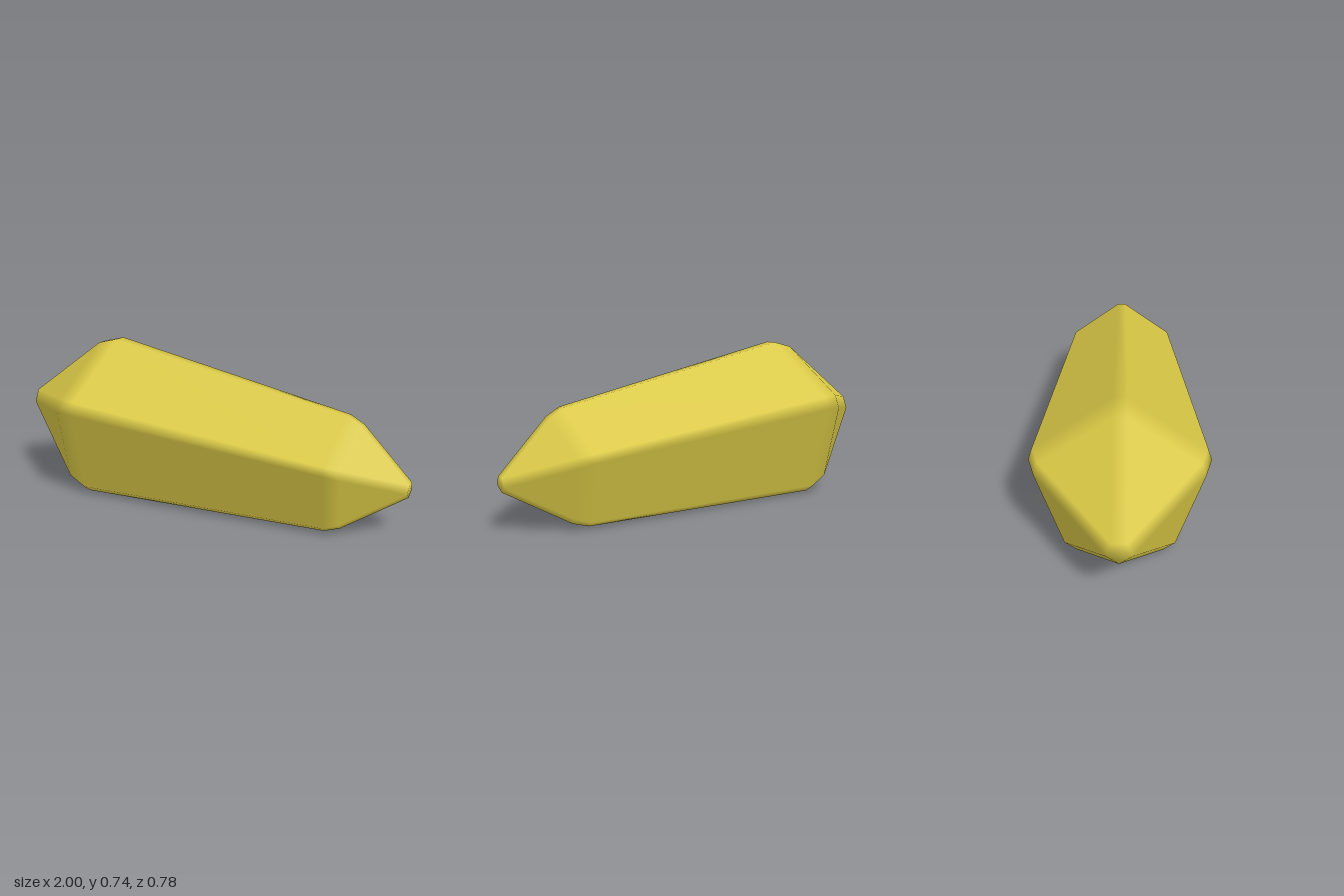
import * as THREE from 'three';

const SIDES = 5;

// Bevels a closed convex solid: each face is inset, then strips fill the edges and
// small polygons the corners. Vertices keep their face normal, so bevels shade softly.
function bevelledSolid(corners, faces) {
  const positions = [], normals = [], index = [];
  const vertexOf = faces.map(() => ({}));
  const faceOfEdge = {};
  const inset = (a, b) => (a.ring === b.ring ? 0.128 : 0.086);

  // Inset faces
  faces.forEach((loop, f) => {
    const n = loop.length;
    const p = loop.map((c) => corners[c].point);
    const normal = p[1].clone().sub(p[0]).cross(p[2].clone().sub(p[0])).normalize();
    loop.forEach((c, i) => {
      const next = loop[(i + 1) % n], prev = loop[(i + n - 1) % n];
      const here = corners[c];
      const u = corners[next].point.clone().sub(here.point).normalize();
      const v = corners[prev].point.clone().sub(here.point).normalize();
      const scale = here.radius / u.clone().cross(v).length();
      const q = here.point.clone()
        .addScaledVector(u, inset(here, corners[prev]) * scale)
        .addScaledVector(v, inset(here, corners[next]) * scale);
      vertexOf[f][c] = positions.length / 3;
      positions.push(q.x, q.y, q.z);
      normals.push(normal.x, normal.y, normal.z);
      faceOfEdge[`${c}>${next}`] = f;
    });
    const ids = loop.map((c) => vertexOf[f][c]);
    for (let i = 1; i < n - 1; i++) index.push(ids[0], ids[i], ids[i + 1]);
  });

  // Edge strips
  for (const key of Object.keys(faceOfEdge)) {
    const [a, b] = key.split('>').map(Number);
    if (a > b) continue;
    const f = vertexOf[faceOfEdge[key]], g = vertexOf[faceOfEdge[`${b}>${a}`]];
    index.push(f[b], f[a], g[a], f[b], g[a], g[b]);
  }

  // Corner polygons
  corners.forEach((_, c) => {
    const first = faces.findIndex((loop) => loop.includes(c));
    const ids = [];
    let f = first;
    do {
      ids.push(vertexOf[f][c]);
      const loop = faces[f];
      const prev = loop[(loop.indexOf(c) + loop.length - 1) % loop.length];
      f = faceOfEdge[`${c}>${prev}`];
    } while (f !== first);
    for (let i = 1; i < ids.length - 1; i++) index.push(ids[0], ids[i], ids[i + 1]);
  });

  const geometry = new THREE.BufferGeometry();
  geometry.setAttribute('position', new THREE.Float32BufferAttribute(positions, 3));
  geometry.setAttribute('normal', new THREE.Float32BufferAttribute(normals, 3));
  geometry.setIndex(index);
  return geometry;
}

export function createModel() {
  const yellow = new THREE.MeshStandardMaterial({ color: 0xd8c745 });
  yellow.name = 'crystal yellow';

  // Corners: a wide ring, a narrow ring, and a point at each end
  const ends = [
    { x: -0.572, radius: 0.429, tip: -1.08 },
    { x: 0.728, radius: 0.28, tip: 1.053 },
  ];
  const corners = [];
  ends.forEach(({ x, radius }, ring) => {
    for (let k = 0; k < SIDES; k++) {
      const a = (k / SIDES) * Math.PI * 2;
      const point = new THREE.Vector3(x, Math.cos(a) * radius, Math.sin(a) * radius);
      corners.push({ point, radius, ring });
    }
  });
  ends.forEach(({ radius, tip }, i) => {
    corners.push({ point: new THREE.Vector3(tip, 0, 0), radius, ring: i + 2 });
  });

  // Faces: long sides and the two pointed caps
  const faces = [];
  for (let k = 0; k < SIDES; k++) {
    const m = (k + 1) % SIDES;
    faces.push([k, m, SIDES + m, SIDES + k]);
    faces.push([m, k, SIDES * 2]);
    faces.push([SIDES + k, SIDES + m, SIDES * 2 + 1]);
  }

  // The crystal leans so that it rests on one long side
  const crystal = new THREE.Mesh(bevelledSolid(corners, faces), yellow);
  crystal.name = 'crystal';
  crystal.rotation.z = -0.085;
  crystal.position.y = 0.3;

  const model = new THREE.Group();
  model.name = 'crystalShard';
  model.add(crystal);
  return model;
}
